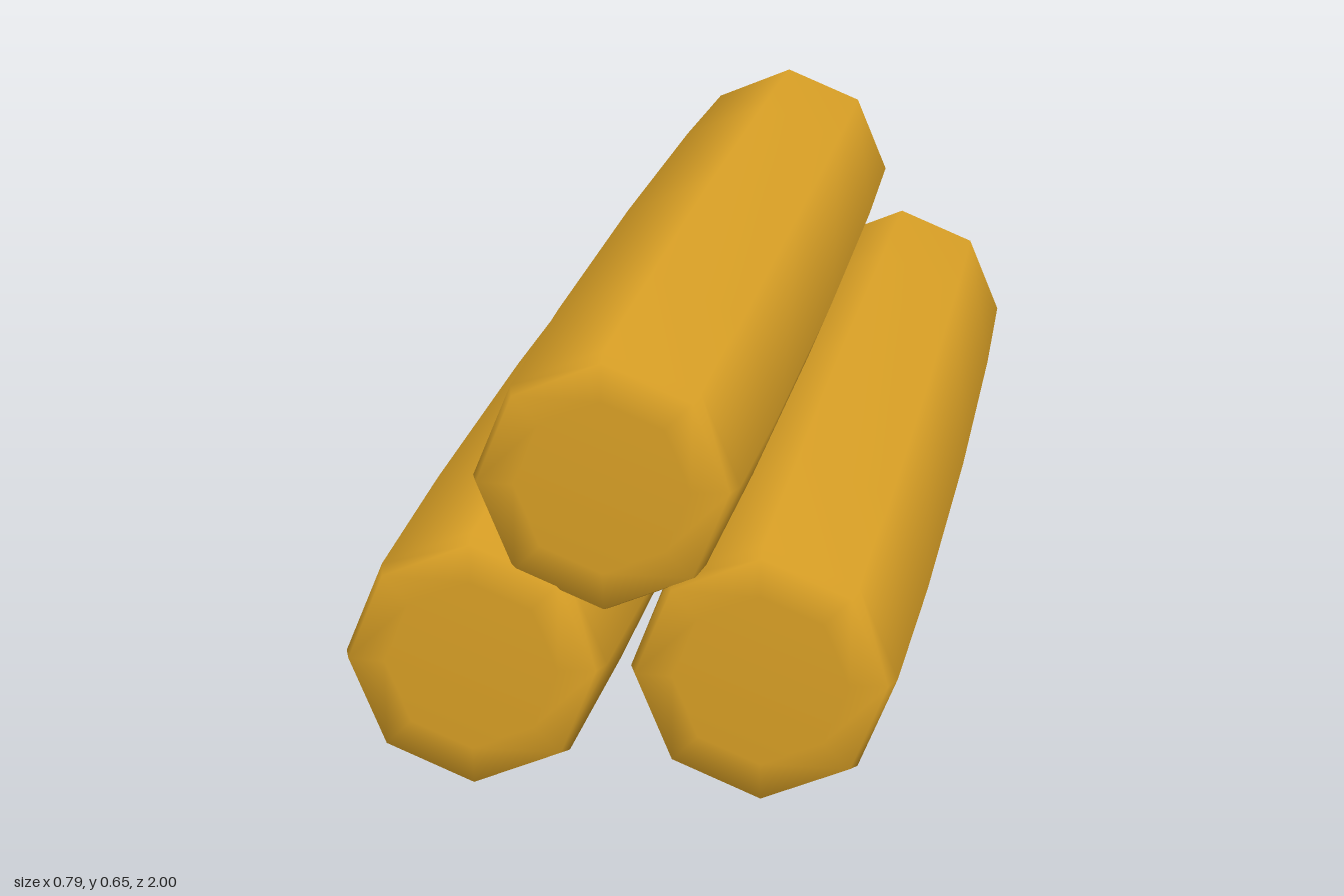
import * as THREE from 'three';

export function createModel() {
  const model = new THREE.Group();
  model.name = 'logPile';
  const gold = new THREE.MeshStandardMaterial({ color: 0xdca226 });
  gold.name = 'goldenWood';

  // half profile (radius, distance from the middle): slight bulge, rounded rim, flat end
  const half = [[0.194, 0], [0.19, 0.6], [0.182, 0.965], [0.172, 0.995], [0.12, 1], [0, 1]];
  const profile = [
    ...half.slice(1).reverse().map(([r, d]) => new THREE.Vector2(r, -d)),
    ...half.map(([r, d]) => new THREE.Vector2(r, d)),
  ];

  // eight-sided log lying along z, with an edge at the top
  const logGeometry = new THREE.LatheGeometry(profile, 8);
  logGeometry.rotateX(Math.PI / 2);

  // two logs on the ground, one resting on them
  const logs = [
    ['rightLog', -0.199, 0.197],
    ['leftLog', 0.198, 0.197],
    ['topLog', -0.016, 0.459],
  ];
  for (const [name, x, y] of logs) {
    const log = new THREE.Mesh(logGeometry, gold);
    log.name = name;
    log.position.set(x, y - 0.003, 0);
    model.add(log);
  }
  return model;
}
